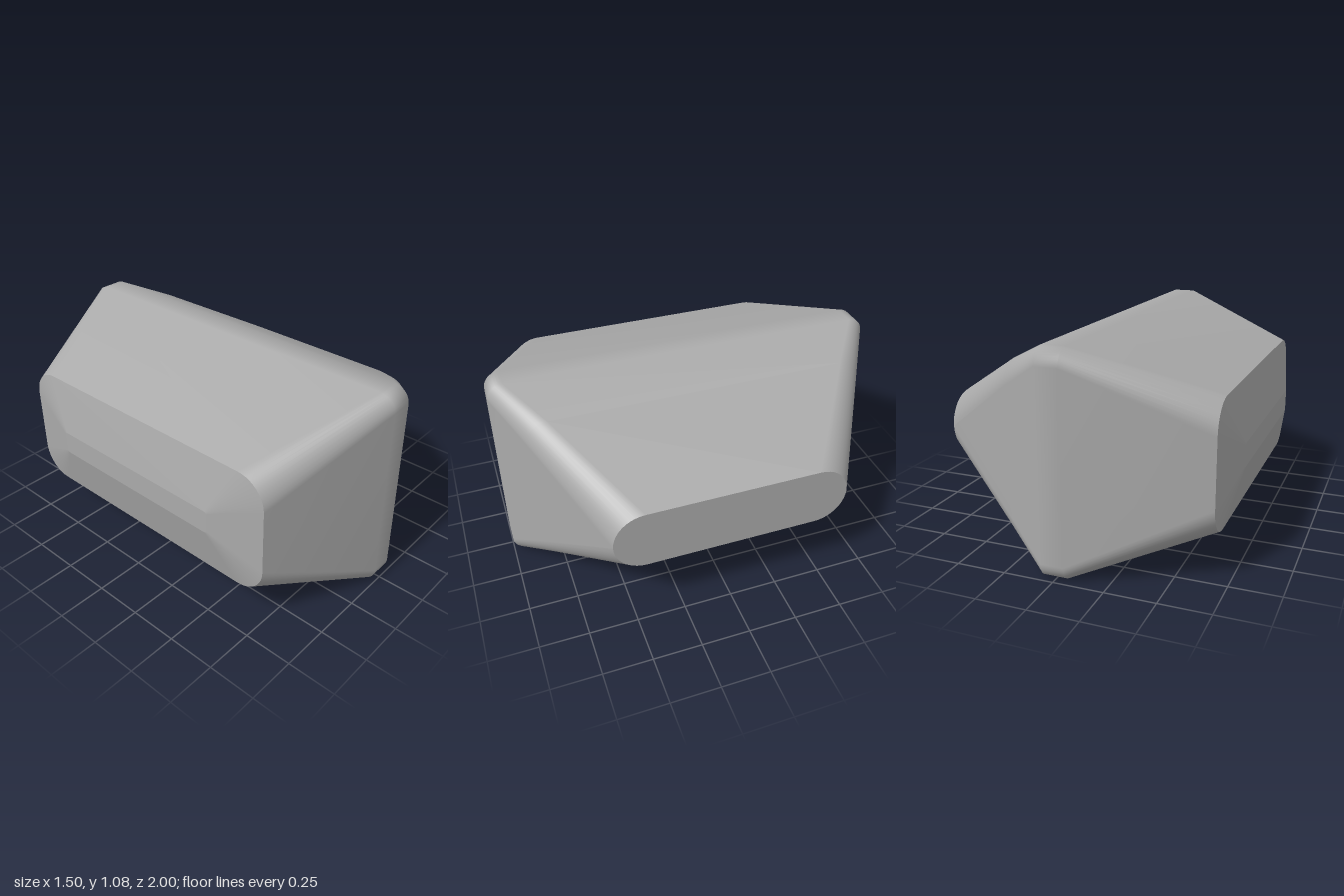
import * as THREE from 'three';

const ARC = 10;

// Rounded rectangle in the y-z plane at x, counter-clockwise seen from +x
function section([x, cy, hy, hz, r]) {
  const pts = [];
  for (let q = 0; q < 4; q++) {
    const sz = q === 0 || q === 3 ? -1 : 1;
    const sy = q < 2 ? 1 : -1;
    for (let i = 0; i <= ARC; i++) {
      const t = (q + i / ARC) * Math.PI / 2;
      pts.push([x, cy + sy * (hy - r) + r * Math.sin(t), sz * (hz - r) - r * Math.cos(t)]);
    }
  }
  return pts;
}

// Skin over a row of sections with rising x
function loft(sections) {
  const rings = sections.map(section);
  const n = rings[0].length;
  const index = [];
  for (let s = 0; s < rings.length - 1; s++) {
    for (let i = 0; i < n; i++) {
      const j = (i + 1) % n;
      const a = s * n + i, b = s * n + j;
      index.push(a, b, a + n, b, b + n, a + n);
    }
  }
  const geo = new THREE.BufferGeometry();
  geo.setAttribute('position', new THREE.Float32BufferAttribute(rings.flat(2), 3));
  geo.setIndex(index);
  geo.computeVertexNormals();
  return geo;
}

export function createModel() {
  const group = new THREE.Group();
  group.name = 'facetedBlock';
  const grey = new THREE.MeshStandardMaterial({ color: 0xaaaaaa });
  grey.name = 'grey';

  const add = (name, sections) => {
    const mesh = new THREE.Mesh(loft(sections), grey);
    mesh.name = name;
    group.add(mesh);
  };

  // Each section: x, centre y, half height, half depth, corner radius
  const tip = [-0.75, 0.54, 0.06, 0.5, 0.01];
  const shoulder = [-0.69, 0.54, 0.318, 0.785, 0.15];
  const ridgeA = [-0.055, 0.54, 0.54, 1, 0.08];
  const ridgeB = [0.06, 0.54, 0.54, 1, 0.08];
  const slope = [0.28, 0.548, 0.425, 0.872, 0.11];
  const nose = [0.75, 0.54, 0.16, 0.6, 0.16];

  // Main body, smooth over the blunt ridge
  add('body', [shoulder, ridgeA, ridgeB, slope, nose]);
  // Shallow bevelled end and its narrow flat
  add('bevelledEnd', [tip, shoulder]);
  add('bevelledEndCap', [[-0.75, 0.54, 0, 0, 0], tip]);
  // Flat round-ended face on the other side
  add('noseCap', [nose, [0.75, 0.54, 0, 0, 0]]);
  return group;
}
